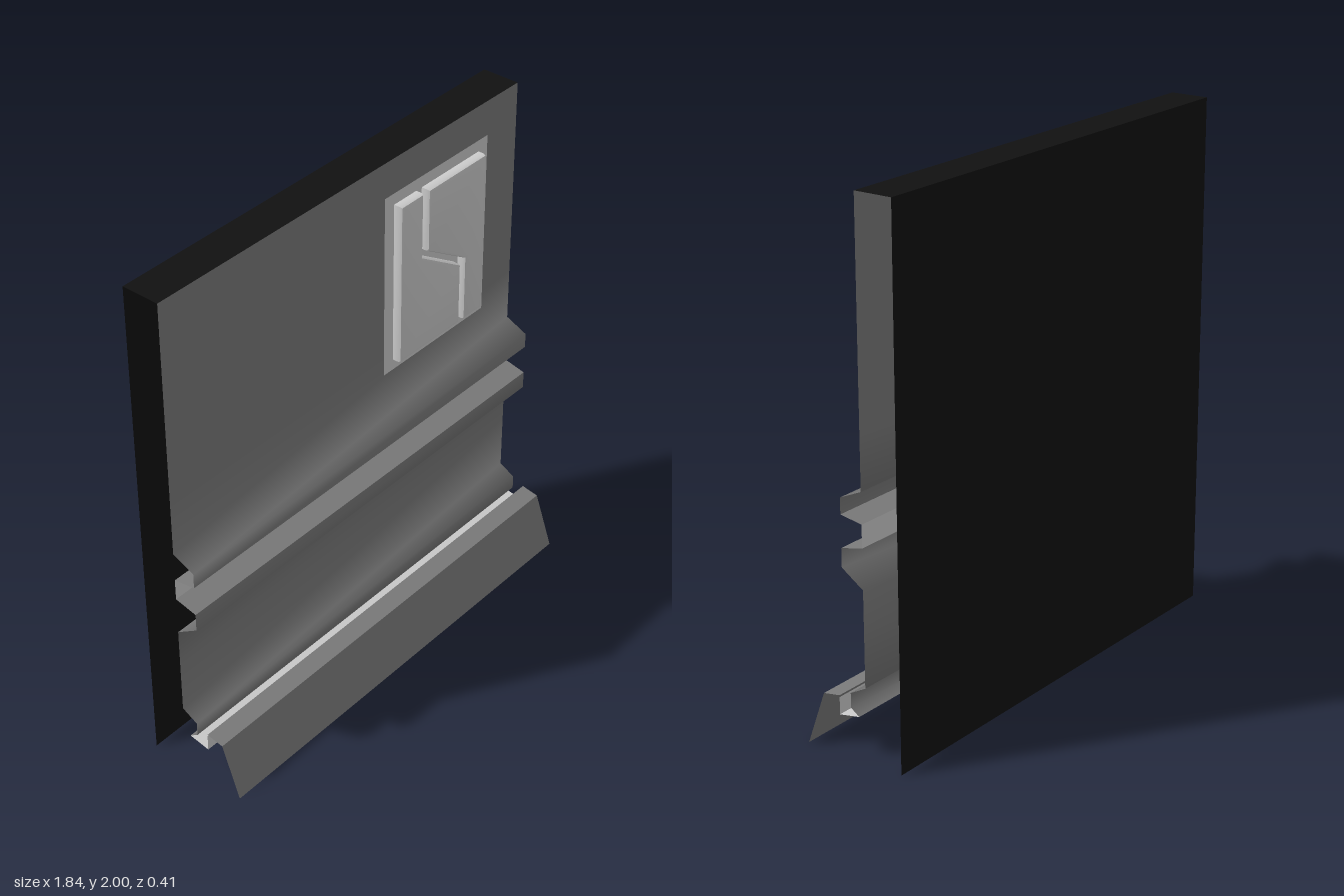
import * as THREE from 'three';
import { toCreasedNormals } from 'three/addons/utils/BufferGeometryUtils.js';

const WIDTH = 1.84;
const grey = new THREE.MeshStandardMaterial({ color: 0xcccccc, side: THREE.DoubleSide });
const wallGrey = new THREE.MeshStandardMaterial({ color: 0x7a7a7a, side: THREE.DoubleSide });
const black = new THREE.MeshStandardMaterial({ color: 0x111111, side: THREE.DoubleSide });

// Open sheet: a [y, z] profile swept across the full width
function sheet(name, profile, material, crease) {
  let geo = new THREE.PlaneGeometry(WIDTH, 1, 1, profile.length - 1);
  const pos = geo.attributes.position;
  for (let i = 0; i < pos.count; i++) {
    const [y, z] = profile[Math.floor(i / 2)];
    pos.setY(i, y);
    pos.setZ(i, z);
  }
  geo.computeVertexNormals();
  if (crease) geo = toCreasedNormals(geo, crease);
  const mesh = new THREE.Mesh(geo, material);
  mesh.name = name;
  return mesh;
}

// Raised plate with a chamfered rim, cut from an outline
function raisedPlate(name, outline) {
  const shape = new THREE.Shape(outline.map(([x, y]) => new THREE.Vector2(x, y)));
  const geo = new THREE.ExtrudeGeometry(shape, {
    depth: 0.025, bevelEnabled: true, bevelThickness: 0.012,
    bevelSize: 0.012, bevelOffset: -0.012, bevelSegments: 2,
  });
  geo.translate(0, 0, -0.055);
  const mesh = new THREE.Mesh(toCreasedNormals(geo, 0.6), grey);
  mesh.name = name;
  return mesh;
}

export function createModel() {
  const group = new THREE.Group();
  group.name = 'wallPanel';

  // Upper wall down to the underside of the upper rail
  group.add(sheet('upperWall', [
    [2, -0.06], [1.85, -0.06], [1.2, -0.06], [0.99, -0.06],
    [0.95, 0.03], [0.89, 0.03], [0.875, -0.06],
  ], wallGrey, 1.3));

  // Bright groove between the two rails
  group.add(sheet('groove', [[0.875, -0.06], [0.79, -0.06]], grey));

  // Lower rail, lower wall and the small ledge above the gutter
  group.add(sheet('lowerWall', [
    [0.79, -0.06], [0.77, 0.03], [0.70, 0.03], [0.64, -0.06],
    [0.5, -0.06], [0.28, -0.06], [0.245, 0.005], [0.19, 0.005], [0.165, -0.03],
  ], wallGrey, 1.3));

  // Bright gutter behind the skirting
  group.add(sheet('gutter', [[0.165, -0.03], [0.15, 0.055], [0.215, 0.055]], grey, 0.5));

  // Sloping skirting board
  group.add(sheet('skirting', [[0.222, 0.055], [0.21, 0.125], [0, 0.2]], wallGrey, 0.5));

  // Dark back and top
  group.add(sheet('backPanel', [[0, -0.21], [2, -0.21], [2, -0.06]], black, 0.5));

  // Wall plate with two interlocking raised pieces
  const plate = new THREE.Mesh(new THREE.PlaneGeometry(0.57, 0.74), grey);
  plate.name = 'wallPlate';
  plate.position.set(0.46, 1.495, -0.055);
  group.add(plate);
  group.add(raisedPlate('innerRaisedPlate', [
    [0.225, 1.17], [0.565, 1.17], [0.565, 1.42], [0.345, 1.56], [0.345, 1.82], [0.225, 1.82],
  ]));
  group.add(raisedPlate('outerRaisedPlate', [
    [0.59, 1.17], [0.695, 1.17], [0.695, 1.82], [0.375, 1.82], [0.375, 1.57], [0.59, 1.435],
  ]));
  return group;
}
